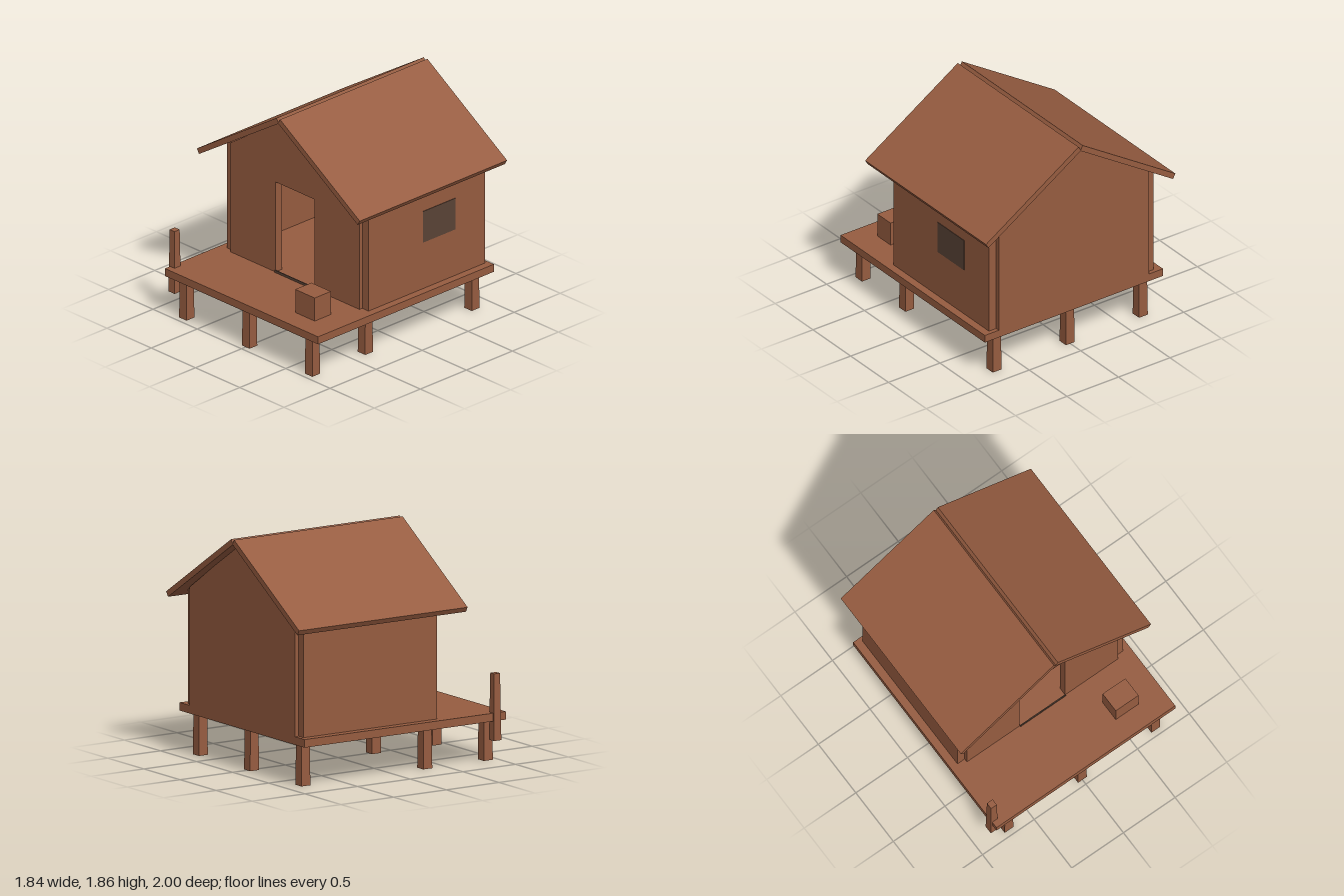
import * as THREE from 'three';

const wood = new THREE.MeshStandardMaterial({ color: 0x965c40 });
wood.name = 'wood';
const dark = new THREE.MeshStandardMaterial({ color: 0x5a4336 });
dark.name = 'darkWood';

// Box given by its minimum and maximum on each axis
function box(name, [x0, x1], [y0, y1], [z0, z1], material = wood) {
  const mesh = new THREE.Mesh(new THREE.BoxGeometry(x1 - x0, y1 - y0, z1 - z0), material);
  mesh.position.set((x0 + x1) / 2, (y0 + y1) / 2, (z0 + z1) / 2);
  mesh.name = name;
  return mesh;
}

// Square post, a little narrower at the top
function post(name, x, z, y0, y1, bottom, top) {
  const g = new THREE.BoxGeometry(1, y1 - y0, 1);
  const p = g.attributes.position;
  for (let i = 0; i < p.count; i++) {
    const w = p.getY(i) > 0 ? top : bottom;
    p.setX(i, p.getX(i) * w);
    p.setZ(i, p.getZ(i) * w);
  }
  g.computeVertexNormals();
  const mesh = new THREE.Mesh(g, wood);
  mesh.position.set(x, (y0 + y1) / 2, z);
  mesh.name = name;
  return mesh;
}

// Flat outline in x and y, extruded from z0 to z1
function slab(name, points, z0, z1, hole) {
  const toVectors = (list) => list.map(([x, y]) => new THREE.Vector2(x, y));
  const shape = new THREE.Shape(toVectors(points));
  if (hole) shape.holes.push(new THREE.Path(toVectors(hole)));
  const g = new THREE.ExtrudeGeometry(shape, { depth: z1 - z0, bevelEnabled: false });
  const mesh = new THREE.Mesh(g, wood);
  mesh.position.z = z0;
  mesh.name = name;
  return mesh;
}

export function createModel() {
  const hut = new THREE.Group();
  hut.name = 'stiltHut';

  // Deck on nine stilts
  hut.add(box('deck', [-0.865, 0.865], [0.335, 0.4], [-0.91, 1]));
  for (const x of [-0.71, 0, 0.71])
    for (const z of [0.912, 0.337, -0.82])
      hut.add(post('stilt', x, z, 0, 0.336, 0.085, 0.077));

  // Gable walls; the front one has an open doorway
  const doorway = [[-0.22, 0.4], [-0.22, 1.18], [0.22, 1.18], [0.22, 0.4]];
  const roofLine = [[0.73, 1.345], [0, 1.83], [-0.73, 1.345]];
  hut.add(slab('frontWall', [[-0.73, 0.4], doorway[0], doorway[1], doorway[2], doorway[3],
    [0.73, 0.4], ...roofLine], 0.35, 0.42));
  hut.add(slab('backWall', [[-0.73, 0.4], [0.73, 0.4], ...roofLine], -0.91, -0.84));

  // Side walls, set slightly back from the gable faces
  for (const s of [-1, 1])
    hut.add(box('sideWall', s < 0 ? [-0.8, -0.725] : [0.725, 0.8], [0.4, 1.335], [-0.875, 0.39]));

  // Window on the right wall and sill under the doorway
  hut.add(box('window', [0.798, 0.804], [0.8, 1.07], [-0.55, -0.2], dark));
  hut.add(box('doorSill', [-0.22, 0.22], [0.4, 0.42], [0.422, 0.43], dark));

  // Two roof slabs meeting in an open notch at the ridge
  const profile = [[-0.92, 1.29], [-0.896, 1.25], [0.004, 1.822], [-0.02, 1.862]];
  hut.add(slab('roofLeft', profile.map(([x, y]) => [-x, y]), -1, 0.6));
  hut.add(slab('roofRight', profile, -1, 0.6));

  // Mooring post and crate on the porch
  hut.add(post('mooringPost', -0.846, 0.912, 0.18, 0.715, 0.07, 0.055));
  hut.add(box('crate', [0.42, 0.64], [0.4, 0.6], [0.645, 0.82]));

  return hut;
}
